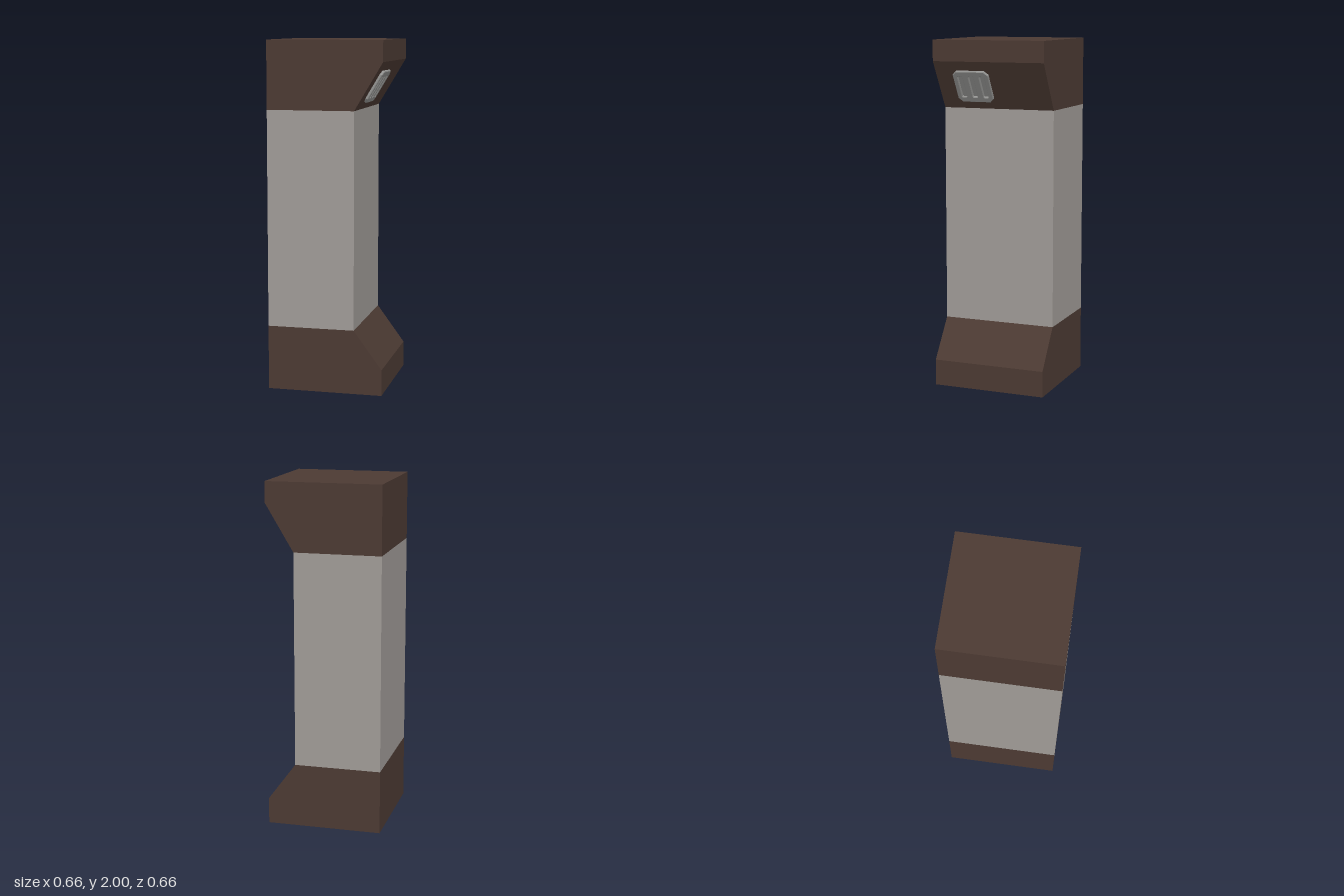
import * as THREE from 'three';

const brown = new THREE.MeshStandardMaterial({ name: 'darkBrown', color: 0x4c3a33 });
const stone = new THREE.MeshStandardMaterial({ name: 'warmGrey', color: 0xa09b97 });
const metal = new THREE.MeshStandardMaterial({ name: 'ventGrey', color: 0x949492 });

const HALF = 0.332;   // half width and depth of the pillar
const INNER = 0.17;   // x of the recessed face

function polygon(points, Type = THREE.Shape) {
  return new Type(points.map(([x, y]) => new THREE.Vector2(x, y)));
}

// Octagon: a rectangle with cut corners
function cutRect(cx, cy, w, h, c) {
  const a = w / 2, b = h / 2;
  return [[-a + c, -b], [a - c, -b], [a, -b + c], [a, b - c], [a - c, b], [-a + c, b], [-a, b - c], [-a, -b + c]]
    .map(([x, y]) => [cx + x, cy + y]);
}

// Profile in x and y, run through the full depth
function block(name, points, material) {
  const geo = new THREE.ExtrudeGeometry(polygon(points), { depth: HALF * 2, bevelEnabled: false });
  geo.translate(0, 0, -HALF);
  const mesh = new THREE.Mesh(geo, material);
  mesh.name = name;
  return mesh;
}

// Slotted plate, lying in x and y and facing +z
function makeVent() {
  const vent = new THREE.Group();
  vent.name = 'vent';
  const w = 0.208, h = 0.198;

  const shape = polygon(cutRect(0, 0, w, h, 0.022));
  for (const x of [-0.066, 0, 0.066]) {
    shape.holes.push(polygon(cutRect(x, 0, 0.036, 0.146, 0.007), THREE.Path));
  }
  const frame = new THREE.Mesh(new THREE.ExtrudeGeometry(shape, {
    depth: 0.008, bevelEnabled: true, bevelThickness: 0.004, bevelSize: 0.004, bevelSegments: 1,
  }), metal);
  frame.name = 'ventFrame';
  frame.position.z = 0.004;

  // Panel behind the slots
  const back = new THREE.Mesh(new THREE.BoxGeometry(w - 0.02, h - 0.02, 0.004), metal);
  back.name = 'ventBack';
  back.position.z = 0.002;

  vent.add(frame, back);
  return vent;
}

export function createModel() {
  const model = new THREE.Group();
  model.name = 'pillar';

  model.add(
    block('base', [[-HALF, 0], [HALF, 0], [HALF, 0.15], [INNER, 0.37], [-HALF, 0.37]], brown),
    block('shaft', [[-HALF, 0.37], [INNER, 0.37], [INNER, 1.61], [-HALF, 1.61]], stone),
    block('capital', [[-HALF, 1.61], [INNER, 1.61], [HALF, 1.88], [HALF, 2], [-HALF, 2]], brown),
  );

  // Vent set on the sloping underside of the capital
  const vent = makeVent();
  const up = new THREE.Vector3(HALF - INNER, 0.27, 0).normalize();
  const out = new THREE.Vector3(up.y, -up.x, 0);
  const side = new THREE.Vector3().crossVectors(up, out);
  vent.quaternion.setFromRotationMatrix(new THREE.Matrix4().makeBasis(side, up, out));
  vent.position.set(0.25, 1.743, 0.117);
  model.add(vent);

  return model;
}
